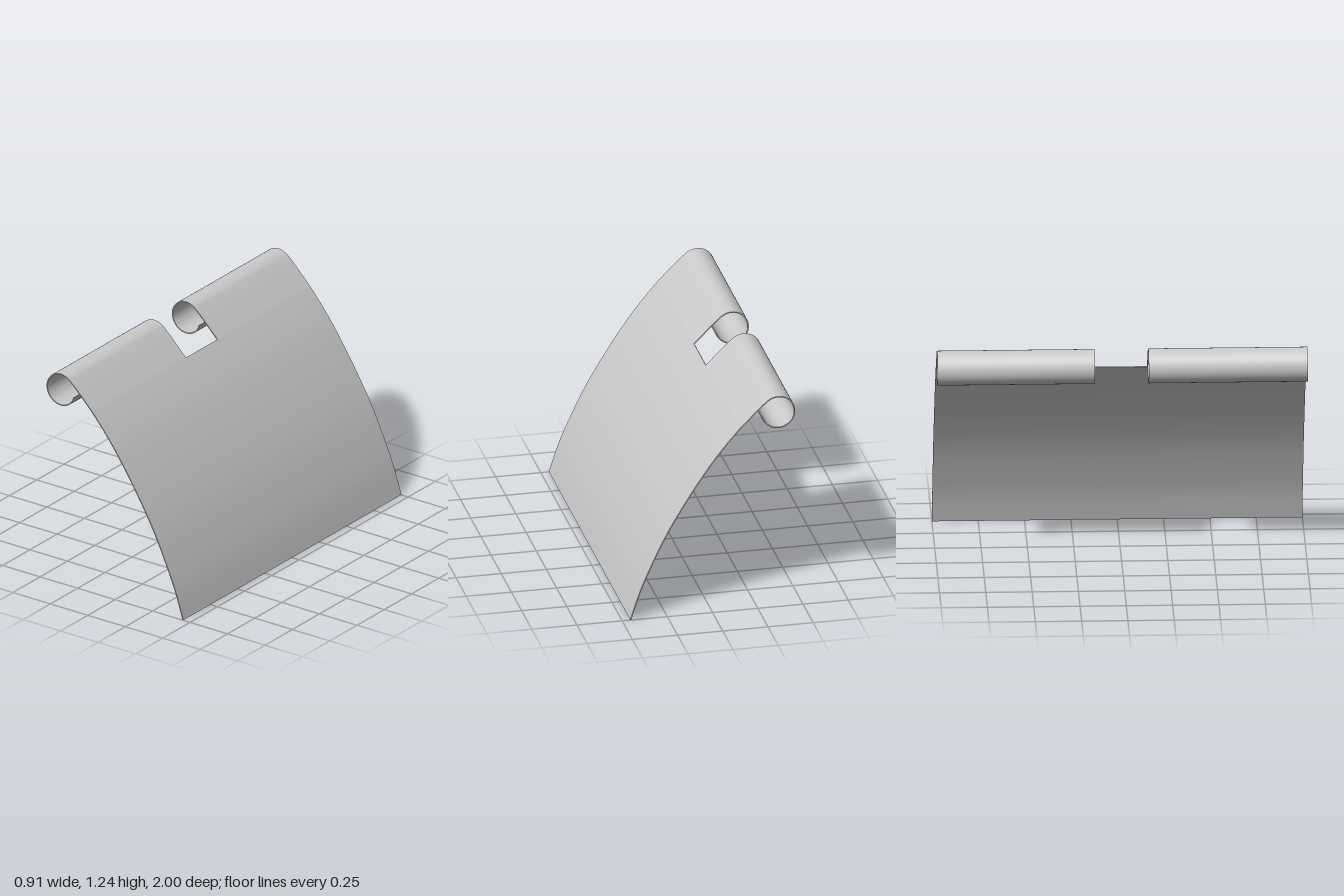
import * as THREE from 'three';
import { toCreasedNormals } from 'three/addons/utils/BufferGeometryUtils.js';

const THICKNESS = 0.006;
const material = new THREE.MeshStandardMaterial({ color: 0xcccccc, side: THREE.DoubleSide });

// Sheet of constant thickness that follows a profile in x/y, running from z0 to z1
function sheet(name, line, z0, z1) {
  const side = (s) => line.map(({ p, n }) => p.clone().addScaledVector(n, s * THICKNESS / 2));
  const shape = new THREE.Shape([...side(1), ...side(-1).reverse()]);
  const extruded = new THREE.ExtrudeGeometry(shape, { depth: z1 - z0, bevelEnabled: false });
  extruded.translate(0, 0, z0);
  const mesh = new THREE.Mesh(toCreasedNormals(extruded, 0.6), material);
  mesh.name = name;
  return mesh;
}

export function createModel() {
  const group = new THREE.Group();
  group.name = 'hingeLeaf';

  // Bowed plate from the bottom edge up to the notch
  const bow = new THREE.SplineCurve([
    [0.453, 0], [0.40, 0.16], [0.34, 0.302], [0.27, 0.45], [0.20, 0.577],
    [0.10, 0.738], [0, 0.884], [-0.08, 0.986], [-0.155, 1.073],
  ].map(([x, y]) => new THREE.Vector2(x, y)));
  const points = bow.getPoints(40);
  const notch = points.length - 1;

  // Straight run into the open barrel curl
  points.push(new THREE.Vector2(-0.22, 1.138), new THREE.Vector2(-0.265, 1.183));
  const centre = new THREE.Vector2(-0.363, 1.148), radius = 0.091;
  for (let i = 0; i <= 48; i++) {
    const a = THREE.MathUtils.degToRad(45 + (300 * i) / 48);
    points.push(new THREE.Vector2(centre.x + radius * Math.cos(a), centre.y + radius * Math.sin(a)));
  }

  // Normals of the whole profile, so that the pieces meet smoothly
  const line = points.map((p, i) => {
    const t = points[Math.min(i + 1, points.length - 1)].clone().sub(points[Math.max(i - 1, 0)]).normalize();
    return { p, n: new THREE.Vector2(t.y, -t.x) };
  });

  group.add(sheet('plate', line.slice(0, notch + 1), -1, 1));
  group.add(sheet('frontCurl', line.slice(notch), 0.14, 1));
  group.add(sheet('backCurl', line.slice(notch), -1, -0.15));
  return group;
}
